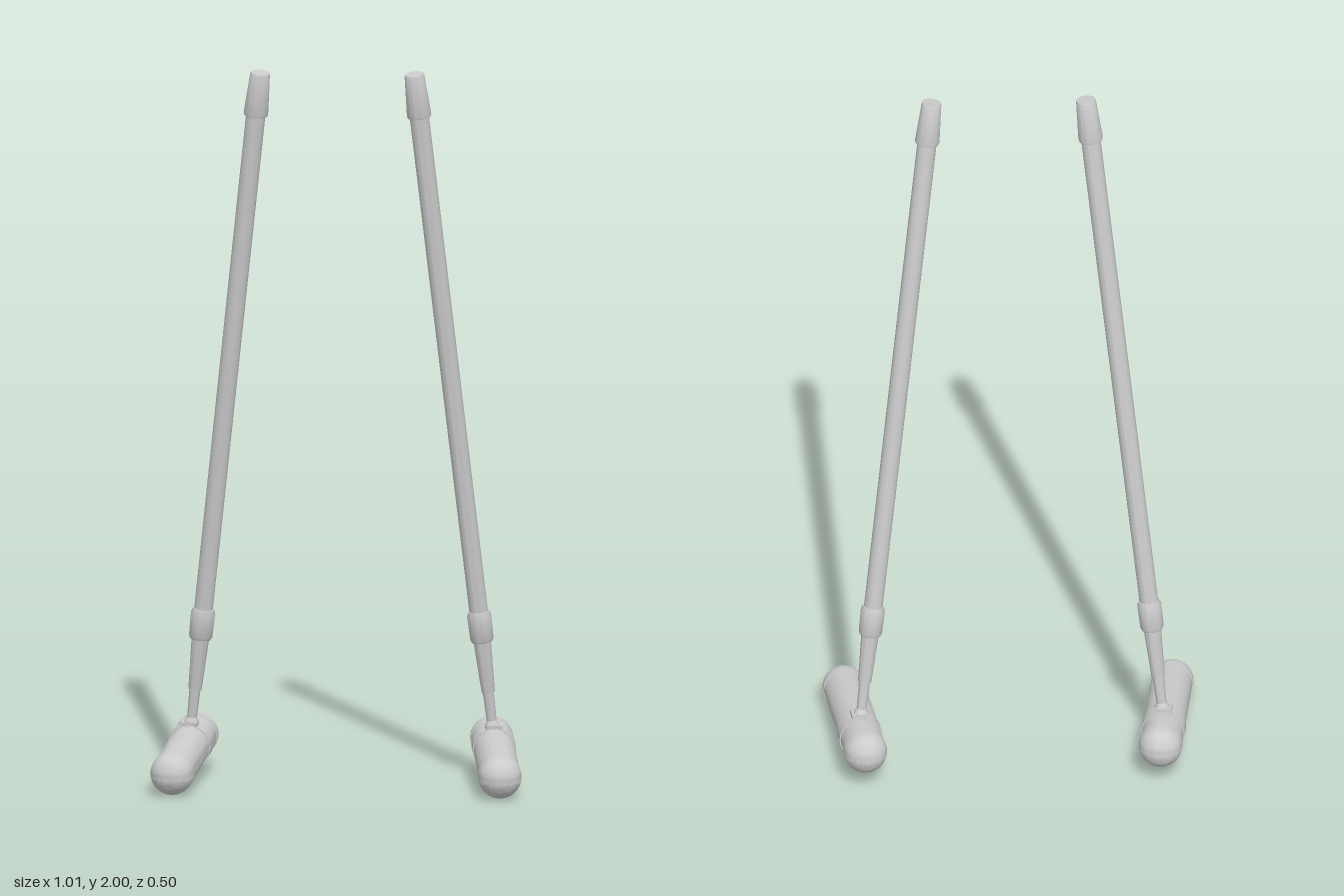
import * as THREE from 'three';
import { toCreasedNormals } from 'three/addons/utils/BufferGeometryUtils.js';

const material = new THREE.MeshStandardMaterial({ color: 0xcccccc });

function part(name, geometry) {
  const mesh = new THREE.Mesh(geometry, material);
  mesh.name = name;
  return mesh;
}

// Turned solid from [radius, height] pairs, with sharp steps kept sharp.
function turned(name, profile, start = 0, sweep = Math.PI * 2, segments = 40) {
  const points = profile.map(([r, h]) => new THREE.Vector2(r, h));
  const geometry = new THREE.LatheGeometry(points, segments, start, sweep);
  return part(name, toCreasedNormals(geometry, 0.5));
}

// Domed end: a hemisphere on a short rim, starting at height 0.
function domeProfile(radius, rim) {
  const profile = [[radius - 0.004, 0], [radius, 0.001], [radius, rim]];
  for (let i = 1; i <= 12; i++) {
    const a = (i / 12) * Math.PI / 2;
    profile.push([i === 12 ? 0 : radius * Math.cos(a), rim + radius * Math.sin(a)]);
  }
  return profile;
}

// Capsule foot, running along local z with +z to the front.
function createFoot(side) {
  const foot = new THREE.Group();
  foot.name = 'foot';
  const back = new THREE.Vector3(0.402 * side, 0.103, -0.192);
  const front = new THREE.Vector3(0.447 * side, 0.064, 0.187);
  const forward = front.clone().sub(back).normalize();
  const across = new THREE.Vector3(0, 1, 0).cross(forward).normalize();
  const up = forward.clone().cross(across);
  foot.quaternion.setFromRotationMatrix(new THREE.Matrix4().makeBasis(across, up, forward));
  foot.position.copy(back).add(front).multiplyScalar(0.5);

  const half = back.distanceTo(front) / 2;
  const tube = new THREE.Group();
  tube.name = 'footTube';
  tube.rotation.x = Math.PI / 2;
  foot.add(tube);

  tube.add(turned('footBody', [[0.0565, -half], [0.0565, half]]));
  tube.add(turned('ankleBand', [
    [0.056, -0.117], [0.0595, -0.117], [0.0595, -0.067], [0.056, -0.067],
  ]));

  const toe = turned('toeCap', domeProfile(0.059, 0.014));
  toe.position.y = half - 0.014;
  const heel = turned('heelCap', domeProfile(0.059, 0.014));
  heel.position.y = -half + 0.014;
  heel.rotation.x = Math.PI;
  tube.add(toe, heel);

  // Slightly raised strips along the top and the underside.
  for (const [name, centre] of [['topStrip', Math.PI], ['soleStrip', 0]]) {
    const strip = turned(name, [
      [0.056, -0.068], [0.0582, -0.068], [0.0582, half - 0.012], [0.056, half - 0.012],
    ], centre - 0.38, 0.76, 8);
    tube.add(strip);
  }

  // Mounting block under the leg.
  const block = part('ankleBlock', new THREE.BoxGeometry(0.044, 0.03, 0.042));
  block.position.set(0, 0.053, -0.09);
  foot.add(block);
  return foot;
}

// Leaning leg: a stack of turned parts along local y.
function createLeg(side) {
  const leg = new THREE.Group();
  leg.name = 'leg';
  const base = new THREE.Vector3(0.413 * side, 0.13, -0.086);
  const top = new THREE.Vector3(0.21 * side, 1.997, 0.131);
  const axis = top.clone().sub(base);
  const length = axis.length();
  leg.position.copy(base);
  leg.quaternion.setFromUnitVectors(new THREE.Vector3(0, 1, 0), axis.normalize());

  leg.add(
    turned('anklePin', [[0, 0], [0.02, 0], [0.02, 0.03], [0.0135, 0.042], [0.0155, 0.13]]),
    turned('lowerSleeve', [[0, 0.122], [0.018, 0.122], [0.0185, 0.128], [0.0245, 0.28]]),
    turned('collar', [
      [0, 0.268], [0.029, 0.268], [0.032, 0.275], [0.033, 0.34], [0.029, 0.354], [0, 0.354],
    ]),
    turned('shaft', [[0.0255, 0.35], [0.0265, length - 0.1]]),
    turned('topCap', [
      [0, length - 0.122], [0.032, length - 0.122], [0.0335, length - 0.116],
      [0.027, length - 0.003], [0.0255, length], [0, length],
    ]),
  );
  return leg;
}

export function createModel() {
  const model = new THREE.Group();
  model.name = 'legPair';
  for (const side of [1, -1]) {
    const limb = new THREE.Group();
    limb.name = side > 0 ? 'leftLimb' : 'rightLimb';
    limb.add(createFoot(side), createLeg(side));
    model.add(limb);
  }
  return model;
}
